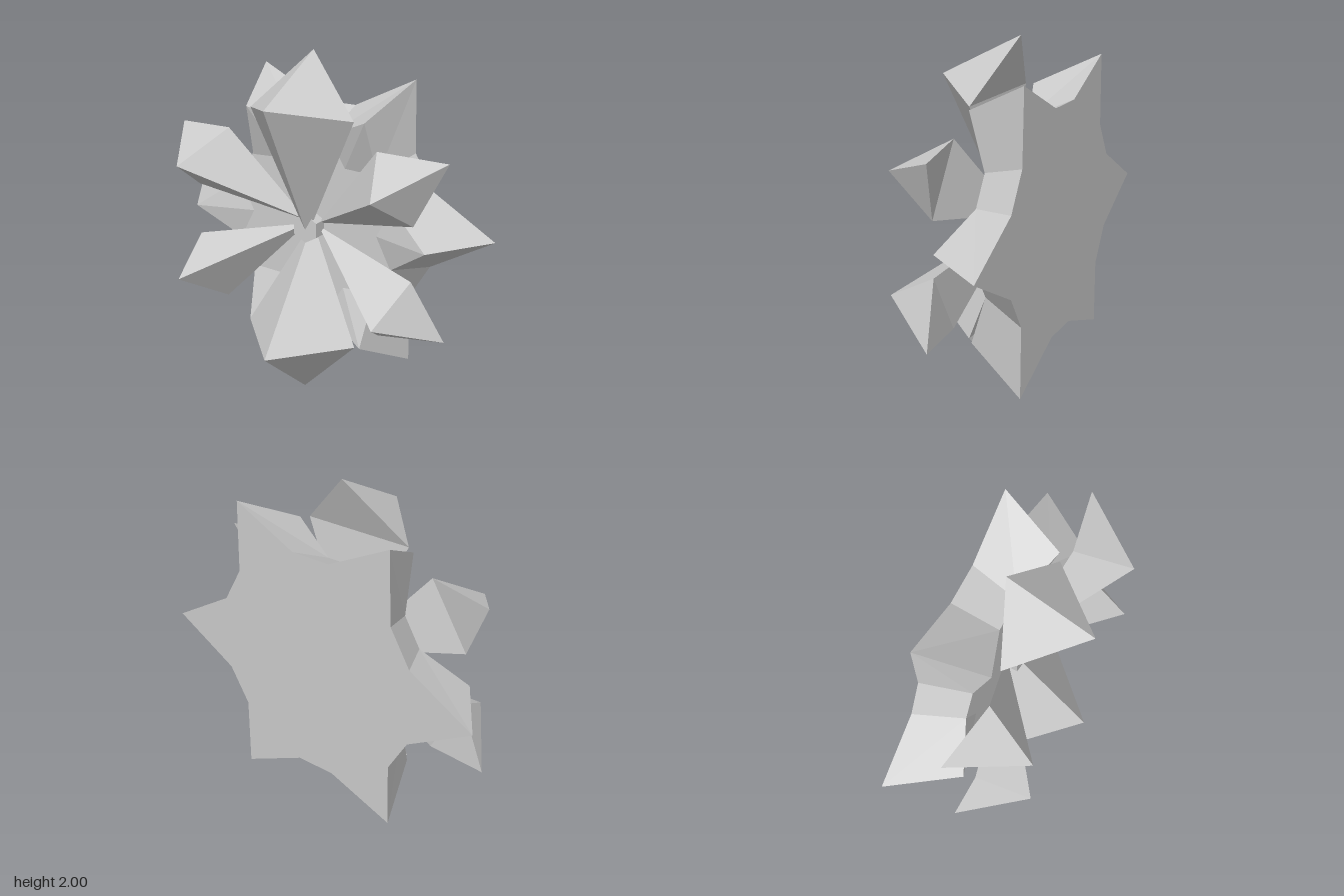
import * as THREE from 'three';

const CY = 1.01, BACK = -0.38, PLATE = -0.12;

// Flat-shaded mesh from a list of corner triples
function facetMesh(name, triangles) {
  const geometry = new THREE.BufferGeometry().setFromPoints(triangles.flat());
  geometry.computeVertexNormals();
  const material = new THREE.MeshStandardMaterial({ color: 0xcccccc, flatShading: true });
  const mesh = new THREE.Mesh(geometry, material);
  mesh.name = name;
  return mesh;
}

// Turns every triangle of a convex solid outward
function faceOutward(triangles, points) {
  const middle = points.reduce((s, p) => s.add(p), new THREE.Vector3()).divideScalar(points.length);
  return triangles.map(([a, b, c]) => {
    const normal = b.clone().sub(a).cross(c.clone().sub(a));
    return normal.dot(a.clone().sub(middle)) < 0 ? [a, c, b] : [a, b, c];
  });
}

// Front petal: a long wedge from the centre, with a raised ridge and a pointed tip
function frontPetal(corners, mirror = 1) {
  const points = corners.map(([x, y, z]) => new THREE.Vector3(x * mirror, y, z));
  const [root, tip, ridge, left, right] = points;
  const triangles = [[root, left, right], [tip, left, right]];
  for (const side of [left, right]) triangles.push([root, side, ridge], [side, tip, ridge]);
  return facetMesh('frontPetal', faceOutward(triangles, points));
}

// Back star: a flat plate with six petals rising as faceted peaks
function backStar() {
  const tips = [[1, 1.01], [0.49, 1.845], [-0.49, 1.845], [-1, 1.01], [-0.51, 0.205], [0.51, 0.17]];
  const polar = (radius, angle, z) =>
    new THREE.Vector3(radius * Math.cos(angle), CY + radius * Math.sin(angle), z);
  const petals = tips.map(([x, y], i) => {
    const angle = i * Math.PI / 3, spread = 0.345, rFront = 0.535, rBack = 0.66;
    return {
      tip: new THREE.Vector3(x, y, BACK),
      ridge: polar(0.755, angle, -0.015),
      inner: polar(0.41, angle, PLATE),
      a: polar(rFront, angle - spread, PLATE), aBack: polar(rBack, angle - spread, BACK),
      b: polar(rFront, angle + spread, PLATE), bBack: polar(rBack, angle + spread, BACK),
    };
  });
  const front = new THREE.Vector3(0, CY, PLATE), rear = new THREE.Vector3(0, CY, BACK);
  const triangles = [];
  petals.forEach((p, i) => {
    const q = petals[(i + 1) % petals.length];
    triangles.push(
      // peak
      [p.inner, p.a, p.ridge], [p.a, p.tip, p.ridge], [p.tip, p.b, p.ridge], [p.b, p.inner, p.ridge],
      // walls
      [p.a, p.aBack, p.tip], [p.b, p.tip, p.bBack],
      [p.b, p.bBack, q.a], [q.a, p.bBack, q.aBack],
      // plate front
      [front, p.inner, p.b], [front, p.b, q.a], [front, q.a, q.inner],
      // flat back
      [rear, p.tip, p.aBack], [rear, p.bBack, p.tip], [rear, q.aBack, p.bBack],
    );
  });
  return facetMesh('backStar', triangles);
}

export function createModel() {
  const model = new THREE.Group();
  model.name = 'flower';
  model.add(backStar());

  // Corner order: root, tip, ridge, two sides
  const top = [[0, 0.95, -0.06], [0, 2, -0.12], [0, 1.755, 0.36], [0.33, 1.67, 0.01], [-0.33, 1.67, 0.01]];
  const bottom = [[0, 1.02, -0.12], [0, 0, -0.04], [0, 0.35, 0.38], [0.36, 0.37, 0.01], [-0.36, 0.37, 0.01]];
  const upper = [[0.04, 1.02, -0.12], [0.855, 1.51, -0.05], [0.61, 1.36, 0.33], [0.475, 1.535, 0.02], [0.7, 1.165, 0.02]];
  const lower = [[0.04, 1, -0.12], [0.88, 0.522, -0.04], [0.635, 0.675, 0.33], [0.51, 0.493, 0.02], [0.7, 0.855, 0.02]];
  model.add(frontPetal(top), frontPetal(bottom));
  for (const mirror of [1, -1]) model.add(frontPetal(upper, mirror), frontPetal(lower, mirror));

  // Small six-sided core joining the two layers
  const core = new THREE.Mesh(
    new THREE.CylinderGeometry(0.085, 0.085, 0.085, 6),
    new THREE.MeshStandardMaterial({ color: 0xcccccc, flatShading: true }),
  );
  core.name = 'core';
  core.rotation.x = Math.PI / 2;
  core.position.set(0, 1, -0.08);
  model.add(core);
  return model;
}
